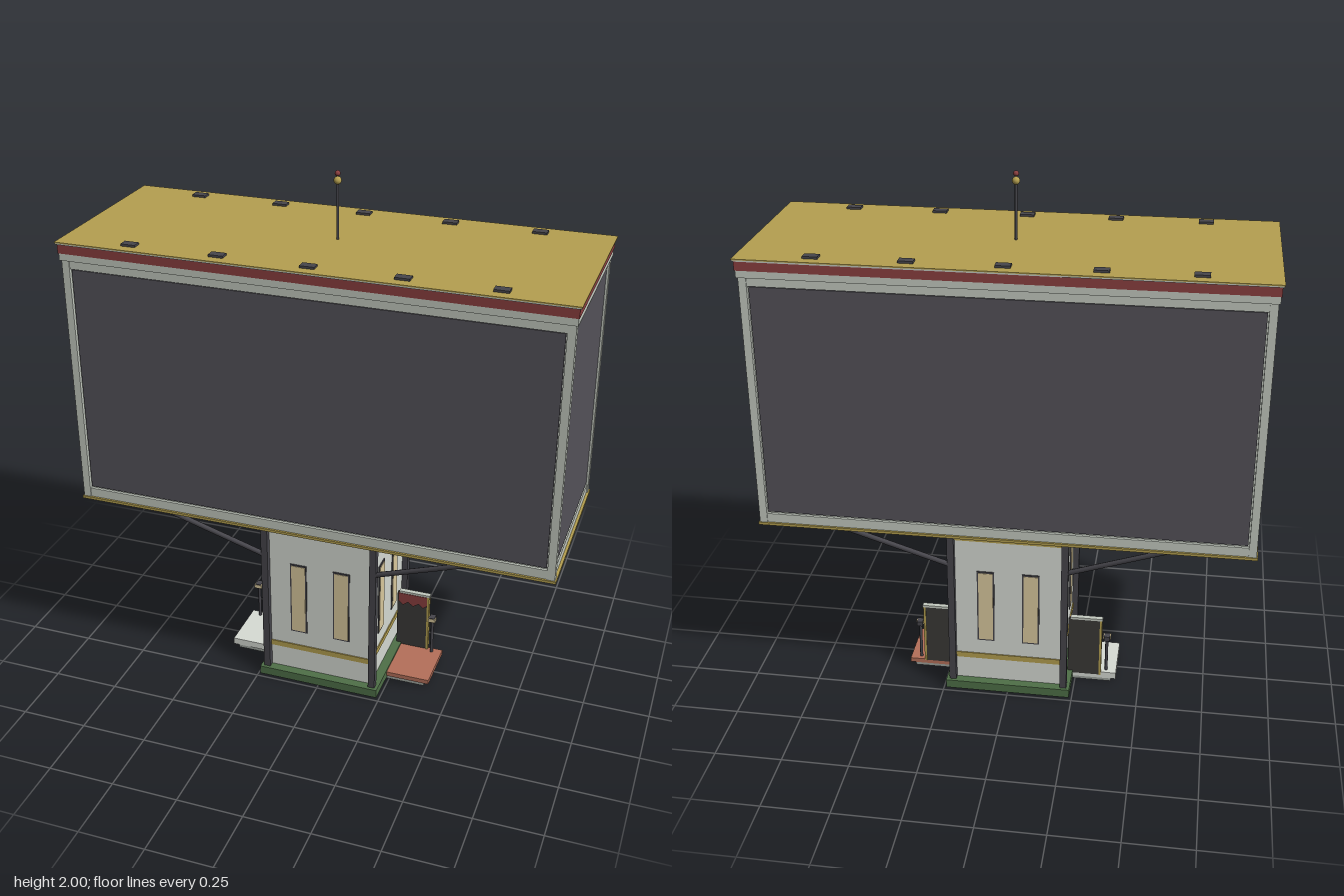
import * as THREE from 'three';

const mat = (color) => new THREE.MeshStandardMaterial({ color });
const M = {
  frame: mat(0xc5cbc1), wall: mat(0xd8dcd5), screen: mat(0x55535a), red: mat(0x8c4040),
  gold: mat(0xb5a050), green: mat(0x4f7048), clay: mat(0xb5705a), glass: mat(0xdccb9f),
  steel: mat(0x47464c), door: mat(0x3b3937), slab: mat(0x9da39d),
};

export function createModel() {
  const root = new THREE.Group();

  const add = (name, geo, m, x, y, z, parent = root) => {
    const mesh = new THREE.Mesh(geo, m);
    mesh.name = name;
    mesh.position.set(x, y, z);
    parent.add(mesh);
    return mesh;
  };
  // Box given by its extents: centre x/z, bottom and top y
  const box = (name, m, w, y0, y1, d, x = 0, z = 0, parent = root) =>
    add(name, new THREE.BoxGeometry(w, y1 - y0, d), m, x, (y0 + y1) / 2, z, parent);
  // Round bar between two points
  const bar = (name, m, a, b, r) => {
    const p = new THREE.Vector3(...a), q = new THREE.Vector3(...b);
    const mid = p.clone().add(q).multiplyScalar(0.5);
    const mesh = add(name, new THREE.CylinderGeometry(r, r, p.distanceTo(q), 8), m, mid.x, mid.y, mid.z);
    mesh.quaternion.setFromUnitVectors(new THREE.Vector3(0, 1, 0), q.sub(p).normalize());
  };

  // Base and walkway
  box('base', M.green, 0.48, 0.006, 0.04, 0.48);
  box('walkway', M.slab, 0.78, 0, 0.018, 0.2);
  box('rightStep', M.wall, 0.17, 0.015, 0.042, 0.21, -0.325);
  box('leftStep', M.clay, 0.17, 0.015, 0.033, 0.21, 0.325);

  // Tower with gold bands
  box('tower', M.wall, 0.41, 0.04, 0.74, 0.41);
  box('lowerBand', M.gold, 0.418, 0.133, 0.155, 0.418);
  box('upperBand', M.gold, 0.418, 0.652, 0.672, 0.418);

  // Two windows on each side of the tower
  for (let side = 0; side < 4; side++) {
    const face = new THREE.Group();
    face.name = 'towerWindows';
    face.rotation.y = side * Math.PI / 2;
    for (const x of [-0.086, 0.086]) {
      box('windowFrame', M.steel, 0.066, 0.218, 0.523, 0.008, x, 0.205, face);
      box('windowPane', M.glass, 0.055, 0.224, 0.517, 0.008, x, 0.207, face);
    }
    root.add(face);
  }

  // Corner columns and braces
  for (const sx of [-1, 1]) for (const sz of [-1, 1]) {
    box('column', M.steel, 0.026, 0.04, 0.74, 0.026, sx * 0.215, sz * 0.215);
    bar('longBrace', M.steel, [sx * 0.215, 0.548, sz * 0.215], [sx * 0.66, 0.738, sz * 0.285], 0.01);
    bar('shortBrace', M.steel, [sx * 0.215, 0.675, sz * 0.215], [sx * 0.44, 0.738, sz * 0.255], 0.008);
  }

  // Screen cabinet: core, rails and corner posts
  box('cabinetFloor', M.gold, 1.81, 0.735, 0.745, 0.68);
  box('cabinet', M.frame, 1.77, 0.745, 1.69, 0.645);
  box('lowerRail', M.frame, 1.79, 0.745, 0.78, 0.665);
  box('upperRail', M.frame, 1.79, 1.656, 1.69, 0.665);
  for (const sx of [-1, 1]) for (const sz of [-1, 1])
    box('cornerPost', M.frame, 0.028, 0.745, 1.69, 0.028, sx * 0.886, sz * 0.322);
  for (const s of [-1, 1]) {
    box('wideScreen', M.screen, 1.735, 0.787, 1.653, 0.012, 0, s * 0.323);
    box('sideScreen', M.screen, 0.012, 0.787, 1.653, 0.612, s * 0.886, 0);
  }

  // Light strips under the cabinet
  for (const x of [-0.52, 0.52]) for (const z of [-0.2, 0, 0.2])
    box('lightStrip', M.gold, 0.42, 0.731, 0.738, 0.012, x, z);

  // Cornice and roof
  box('corniceLower', M.frame, 1.81, 1.688, 1.714, 0.685);
  box('corniceBand', M.red, 1.815, 1.714, 1.747, 0.69);
  box('corniceTop', M.frame, 1.825, 1.747, 1.752, 0.698);
  box('roof', M.gold, 1.83, 1.752, 1.756, 0.7);
  for (let i = -2; i <= 2; i++) for (const z of [-0.295, 0.295])
    box('roofUnit', M.steel, 0.053, 1.754, 1.764, 0.034, i * 0.326, z);

  // Mast
  bar('mast', M.steel, [0, 1.75, 0], [0, 1.96, 0], 0.005);
  add('mastBall', new THREE.SphereGeometry(0.014, 16, 10), M.gold, 0, 1.965, 0);
  add('beacon', new THREE.SphereGeometry(0.01, 16, 10), M.red, 0, 1.99, 0);

  // Scalloped valance for the side entrances
  const valance = new THREE.Shape();
  valance.moveTo(0.225, 0.28);
  [[0.225, 0.245], [0.245, 0.227], [0.265, 0.243], [0.287, 0.227], [0.309, 0.243],
    [0.328, 0.227], [0.343, 0.24], [0.343, 0.28]].forEach(([x, y]) => valance.lineTo(x, y));
  const valanceGeo = new THREE.ExtrudeGeometry(valance, { depth: 0.006, bevelEnabled: false });

  // Mirrored side entrances with a lamp beside each
  for (const s of [-1, 1]) {
    const entry = new THREE.Group();
    entry.name = s > 0 ? 'leftEntrance' : 'rightEntrance';
    box('entranceScreen', M.door, 0.125, 0.03, 0.28, 0.012, s * 0.283, -0.1, entry);
    box('entranceEdge', M.gold, 0.009, 0.03, 0.28, 0.018, s * 0.347, -0.1, entry);
    box('entranceCap', M.frame, 0.125, 0.28, 0.289, 0.02, s * 0.291, -0.1, entry);
    const v = valanceGeo.clone();
    if (s < 0) v.rotateY(Math.PI).translate(0, 0, 0.006);
    add('valance', v, M.red, 0, 0, -0.094, entry);
    add('lampPost', new THREE.CylinderGeometry(0.006, 0.006, 0.16, 8), M.steel, s * 0.37, 0.1, -0.083, entry);
    box('lampHousing', M.steel, 0.022, 0.182, 0.202, 0.03, s * 0.37, -0.083, entry);
    box('lampGlass', M.glass, 0.03, 0.185, 0.199, 0.02, s * 0.37, -0.076, entry);
    root.add(entry);
  }

  return root;
}
